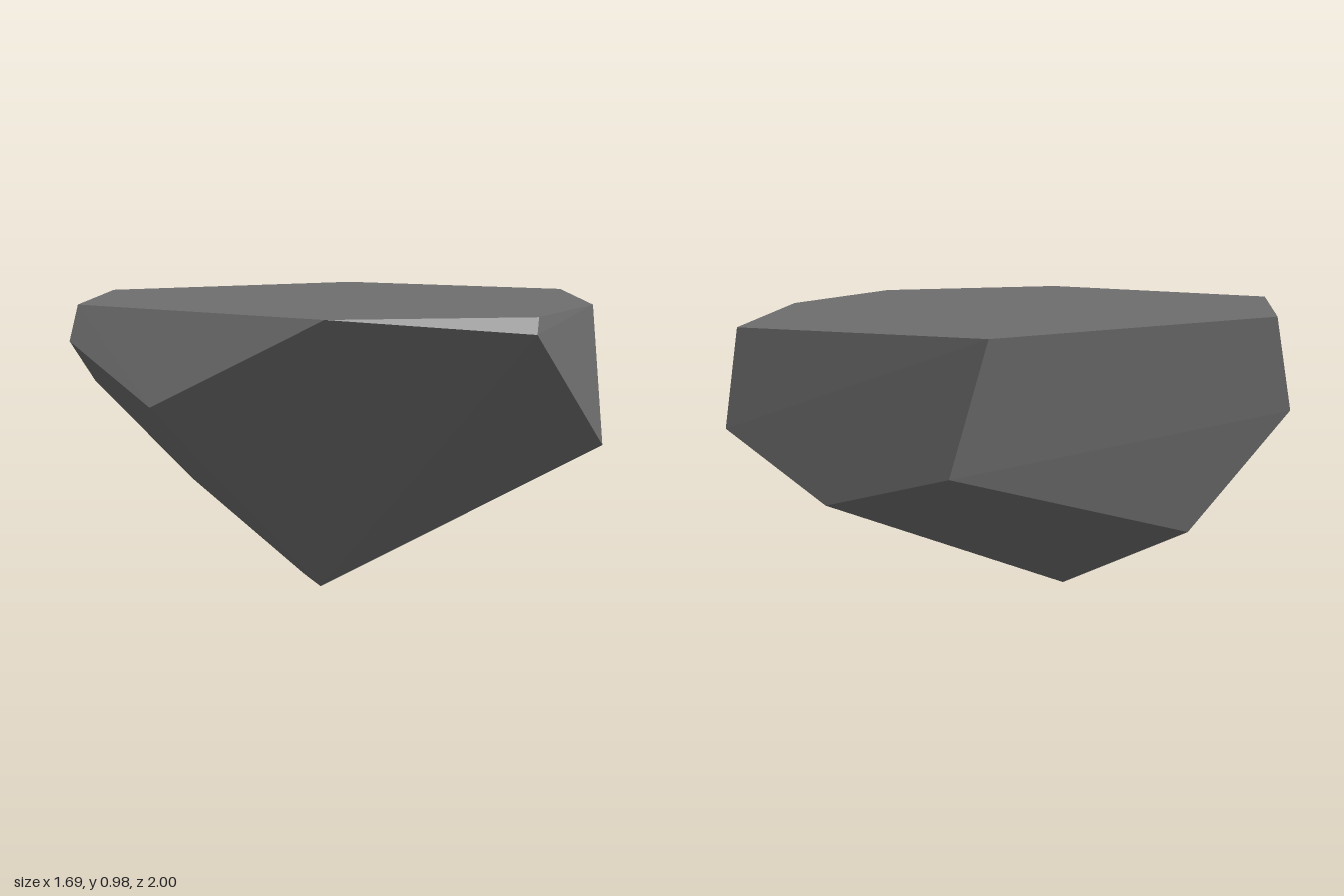
import * as THREE from 'three';
import { ConvexGeometry } from 'three/addons/geometries/ConvexGeometry.js';

// Nearly level top, tilted slightly down towards +x
const topY = (x, z) => 0.962 - 0.015 * x + 0.002 * z;

export function createModel() {
  const group = new THREE.Group();
  group.name = 'rock';
  const stone = new THREE.MeshStandardMaterial({ color: 0x6e6e6e });
  stone.name = 'grey stone';

  // Outline of the flat top (x, z)
  const rim = [
    [0.05, -0.95], [0.61, -0.43], [0.82, 0.10], [0.51, 0.68],
    [-0.36, 0.94], [-0.85, 0.47], [-0.71, -0.56],
  ].map(([x, z]) => new THREE.Vector3(x, topY(x, z), z));

  // Chipped corners around the sides, then the small foot (x, y, z)
  const corners = [
    [0.05, 0.65, -1.0], [0.64, 0.48, -0.46], [0.84, 0.90, 0.13],
    [0.085, 0.69, 0.992], [-0.32, 0.86, 1.0], [-0.82, 0.66, 0.58],
    [-0.70, 0.28, 0.25], [-0.64, 0.565, -0.65], [-0.285, 0.45, -0.85],
    [0.02, 0.005, 0.26], [-0.17, 0, 0.17],
  ].map((p) => new THREE.Vector3(...p));

  // Faceted boulder spanning all corners
  const boulder = new THREE.Mesh(new ConvexGeometry([...rim, ...corners]), stone);
  boulder.name = 'boulder';
  group.add(boulder);
  return group;
}
